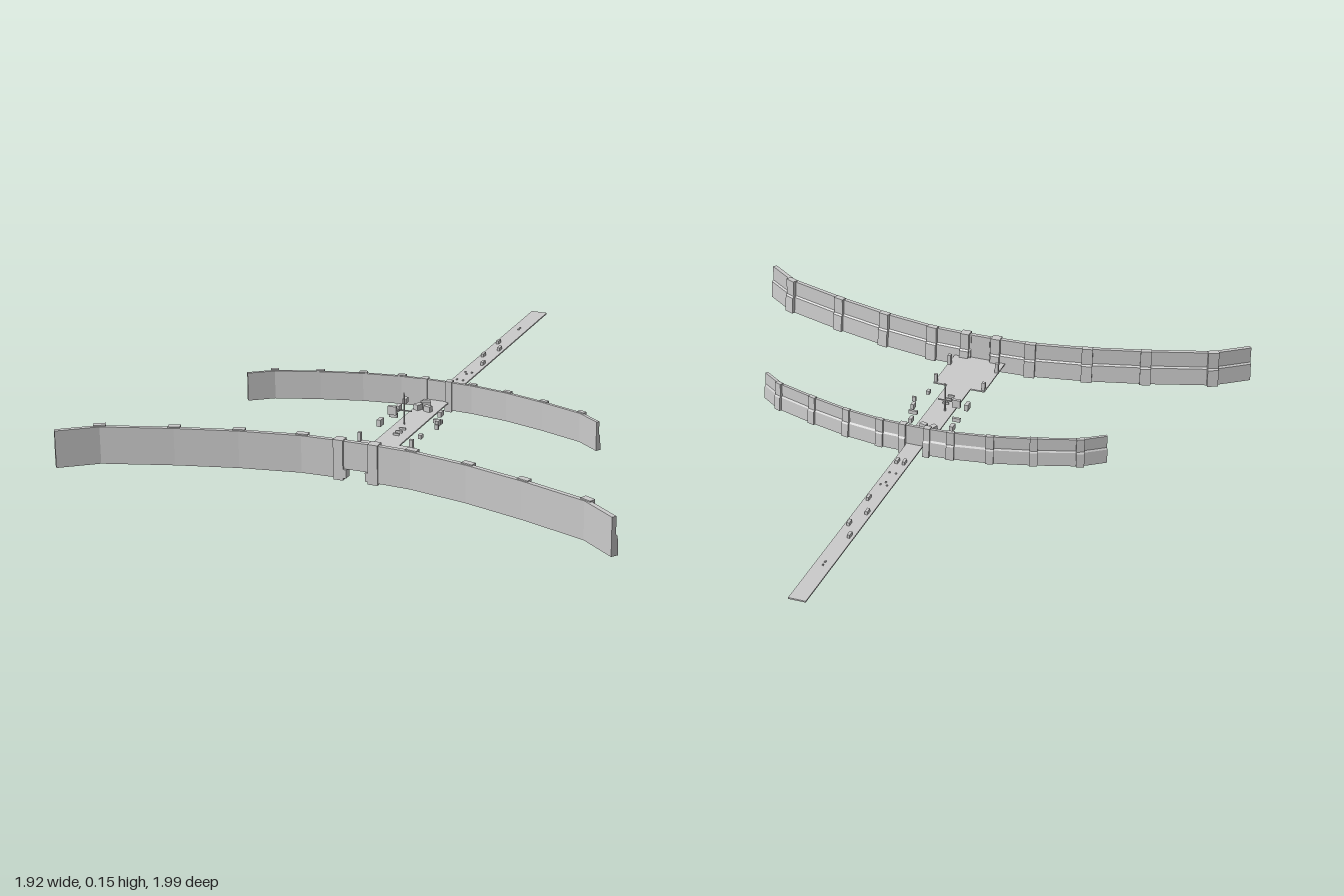
import * as THREE from 'three';

const mat = new THREE.MeshStandardMaterial({ color: 0xcccccc, flatShading: true, side: THREE.DoubleSide });

// Sweeps a closed section of [depth, y] corners along a path of [x, z] points.
function sweep(path, section) {
  const tangent = (i) => {
    const a = path[Math.max(i - 1, 0)], b = path[Math.min(i + 1, path.length - 1)];
    return new THREE.Vector2(b[0] - a[0], b[1] - a[1]).normalize();
  };
  const rings = path.map(([x, z], i) => {
    const t = tangent(i);
    return section.map(([d, y]) => [x - t.y * d, y, z + t.x * d]);
  });
  const pos = [];
  const tri = (a, b, c) => pos.push(...a, ...b, ...c);
  const n = section.length;
  for (let i = 0; i < rings.length - 1; i++) {
    for (let j = 0; j < n; j++) {
      const k = (j + 1) % n;
      tri(rings[i][j], rings[i + 1][j], rings[i + 1][k]);
      tri(rings[i][j], rings[i + 1][k], rings[i][k]);
    }
  }
  const first = rings[0], last = rings[rings.length - 1];
  for (let j = 1; j < n - 1; j++) {
    tri(first[0], first[j], first[j + 1]);
    tri(last[0], last[j + 1], last[j]);
  }
  const g = new THREE.BufferGeometry();
  g.setAttribute('position', new THREE.Float32BufferAttribute(pos, 3));
  g.computeVertexNormals();
  return g;
}

function add(parent, name, geometry) {
  const m = new THREE.Mesh(geometry, mat);
  m.name = name;
  parent.add(m);
  return m;
}

function box(parent, name, w, h, d, x, y, z, turn = 0) {
  const m = add(parent, name, new THREE.BoxGeometry(w, h, d));
  m.position.set(x, y, z);
  m.rotation.y = turn;
  return m;
}

// Curved wall: half path from the gate outwards, ribs at the inner knots, gate in the middle.
function curvedWall(name, half, { bottom, top, s, gate, post }) {
  const wall = new THREE.Group();
  wall.name = name;
  const mid = (bottom + top) / 2;
  const section = (front, back, low, high) => [
    [front, low], [front, high], [-back, high], [-back, mid + 0.004],
    [-back - 0.006 * s, mid - 0.002], [-back - 0.010 * s, low],
  ];
  const face = section(0.008 * s, 0.008 * s, bottom, top - 0.004);
  const rib = section(0.004 * s, 0.018 * s, bottom, top);
  const z0 = half[0][1];

  for (const side of [-1, 1]) {
    const path = [[gate, z0], ...half.slice(1)].map(([x, z]) => [x * side, z]);
    if (side < 0) path.reverse();
    add(wall, 'wallPanel', sweep(path, face));

    // Ribs on the rear face, turned to follow the bend
    for (let i = 1; i < path.length - 1; i++) {
      const [x, z] = path[i];
      const t = new THREE.Vector2(path[i + 1][0] - path[i - 1][0], path[i + 1][1] - path[i - 1][1])
        .normalize().multiplyScalar(0.02 * s);
      add(wall, 'rib', sweep([[x - t.x, z - t.y], [x + t.x, z + t.y]], rib));
    }

    // Gate posts project on both faces
    const px = post * side, hw = 0.017 * s;
    add(wall, 'gatePost', sweep([[px - hw, z0], [px + hw, z0]],
      section(0.016 * s, 0.018 * s, bottom - 0.005, top)));
    box(wall, 'gateFoot', 0.014 * s, 0.03, 0.03 * s, (gate + 0.004) * side, 0.025, z0);
  }

  // Wall above the gate opening
  const d = 0.008 * s;
  add(wall, 'gateLintel', sweep([[-gate, z0], [gate, z0]],
    [[d, 0.04], [d, top - 0.004], [-d, top - 0.004], [-d, 0.04]]));
  return wall;
}

export function createModel() {
  const model = new THREE.Group();
  model.name = 'walledCauseway';

  // Walls
  model.add(curvedWall('frontWall',
    [[0, 0.72], [0.19, 0.727], [0.395, 0.766], [0.6, 0.823], [0.83, 0.9], [0.947, 0.988]],
    { bottom: 0.007, top: 0.139, s: 1, gate: 0.036, post: 0.06 }));
  model.add(curvedWall('rearWall',
    [[0, 0.038], [0.13, 0.042], [0.265, 0.064], [0.41, 0.104], [0.56, 0.155], [0.638, 0.212]],
    { bottom: 0.014, top: 0.119, s: 0.7, gate: 0.032, post: 0.045 }));

  // Decks: long causeway, middle walk, wide forecourt
  for (const [name, w, z0, z1] of [
    ['causeway', 0.06, -1, 0.03], ['middleDeck', 0.09, 0.03, 0.48], ['forecourt', 0.196, 0.48, 0.715],
  ]) box(model, name, w, 0.005, z1 - z0, 0, 0.041, (z0 + z1) / 2);

  // Forecourt corner posts
  for (const x of [-0.092, 0.092]) {
    box(model, 'cornerPost', 0.012, 0.032, 0.012, x, 0.058, 0.49);
    box(model, 'cornerPost', 0.012, 0.038, 0.015, x, 0.062, 0.635);
  }

  // Blocks along the causeway
  for (const [x, z] of [[-0.015, -0.6], [0.015, -0.53], [-0.015, -0.445], [0.015, -0.36],
    [-0.013, -0.1], [0.013, -0.1]]) box(model, 'causewayBlock', 0.01, 0.012, 0.025, x, 0.05, z);
  for (const [x, z] of [[0, -0.79], [0, -0.77], [-0.012, -0.26], [0.012, -0.26], [0, -0.24],
    [-0.012, -0.175], [0.012, -0.175]]) box(model, 'pebble', 0.005, 0.005, 0.006, x, 0.045, z);

  // Loose blocks beside and on the middle deck: x, z, width, depth, y, height, turn
  const blocks = [
    [-0.09, 0.105, 0.012, 0.025, 0.052, 0.018, 0], [-0.085, 0.178, 0.014, 0.028, 0.052, 0.02, 0],
    [-0.077, 0.242, 0.03, 0.01, 0.048, 0.014, 0], [-0.085, 0.335, 0.014, 0.03, 0.055, 0.024, 0],
    [-0.06, 0.29, 0.03, 0.012, 0.085, 0.03, 0], [0.07, 0.18, 0.012, 0.026, 0.052, 0.018, 0],
    [0.085, 0.24, 0.032, 0.01, 0.048, 0.014, 0], [0.097, 0.272, 0.012, 0.024, 0.055, 0.02, 0],
    [0.11, 0.315, 0.014, 0.008, 0.058, 0.018, 0], [0.085, 0.395, 0.012, 0.018, 0.05, 0.014, 0],
    [-0.012, 0.113, 0.034, 0.018, 0.053, 0.02, 0.5], [-0.025, 0.147, 0.02, 0.026, 0.053, 0.02, -0.5],
    [0.012, 0.153, 0.026, 0.016, 0.053, 0.02, -0.3],
  ];
  for (const [x, z, w, d, y, h, turn] of blocks) box(model, 'looseBlock', w, h, d, x, y, z, turn);

  // Low planks and a thin mast
  for (const z of [0.345, 0.375, 0.4]) box(model, 'plank', 0.022, 0.008, 0.006, 0, 0.047, z);
  box(model, 'crossbar', 0.07, 0.004, 0.004, -0.025, 0.09, 0.29);
  const mast = add(model, 'mast', new THREE.CylinderGeometry(0.002, 0.003, 0.112, 6));
  mast.position.set(-0.015, 0.099, 0.295);
  return model;
}
